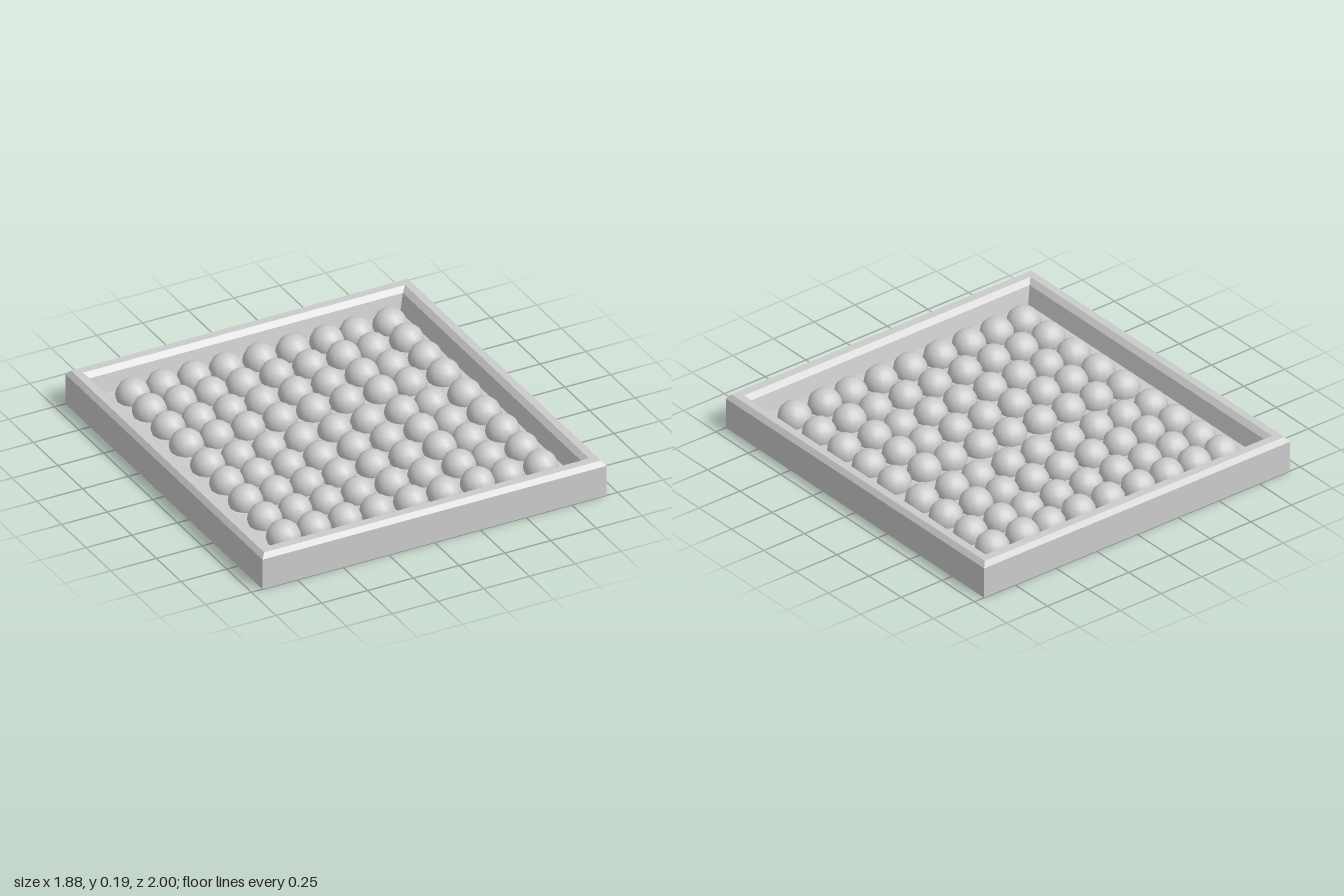
import * as THREE from 'three';

const material = new THREE.MeshStandardMaterial({ color: 0xcccccc });

// Lofts rectangular rings [halfX, halfZ, y] into a mitred, hard-edged solid
function rectLoft(rings) {
  const corners = [[1, 1], [1, -1], [-1, -1], [-1, 1]];
  const point = (r, k) => [corners[k % 4][0] * r[0], r[2], corners[k % 4][1] * r[1]];
  const positions = [];
  for (let j = 0; j < rings.length - 1; j++) {
    for (let k = 0; k < 4; k++) {
      const a = point(rings[j], k), b = point(rings[j], k + 1);
      const c = point(rings[j + 1], k + 1), d = point(rings[j + 1], k);
      if (rings[j][0] > 0) positions.push(...a, ...b, ...d);
      if (rings[j + 1][0] > 0) positions.push(...b, ...c, ...d);
      else positions.push(...b, ...c, ...a);
    }
  }
  const geometry = new THREE.BufferGeometry();
  geometry.setAttribute('position', new THREE.Float32BufferAttribute(positions, 3));
  geometry.computeVertexNormals();
  return geometry;
}

export function createModel() {
  const model = new THREE.Group();
  model.name = 'trayOfBalls';

  // Tray: underside, outer wall, bevelled rim, sloping inner wall, floor
  const tray = new THREE.Mesh(rectLoft([
    [0, 0, 0],
    [0.94, 1, 0],
    [0.94, 1, 0.165],
    [0.92, 0.98, 0.19],
    [0.88, 0.935, 0.19],
    [0.855, 0.91, 0.165],
    [0.83, 0.89, 0.075],
    [0, 0, 0.075],
  ]), material);
  tray.name = 'tray';
  model.add(tray);

  // Balls: a slightly uneven 9 x 9 grid, sunk into the floor
  const balls = new THREE.Group();
  balls.name = 'balls';
  const columns = [-0.69, -0.525, -0.355, -0.18, 0.005, 0.185, 0.37, 0.53, 0.715];
  const rows = [-0.78, -0.61, -0.42, -0.235, -0.02, 0.175, 0.365, 0.56, 0.75];
  const ballGeometry = new THREE.SphereGeometry(0.086, 12, 10);
  for (const z of rows) {
    for (const x of columns) {
      const ball = new THREE.Mesh(ballGeometry, material);
      ball.name = 'ball';
      ball.position.set(x, 0.095, z);
      balls.add(ball);
    }
  }
  model.add(balls);
  return model;
}
